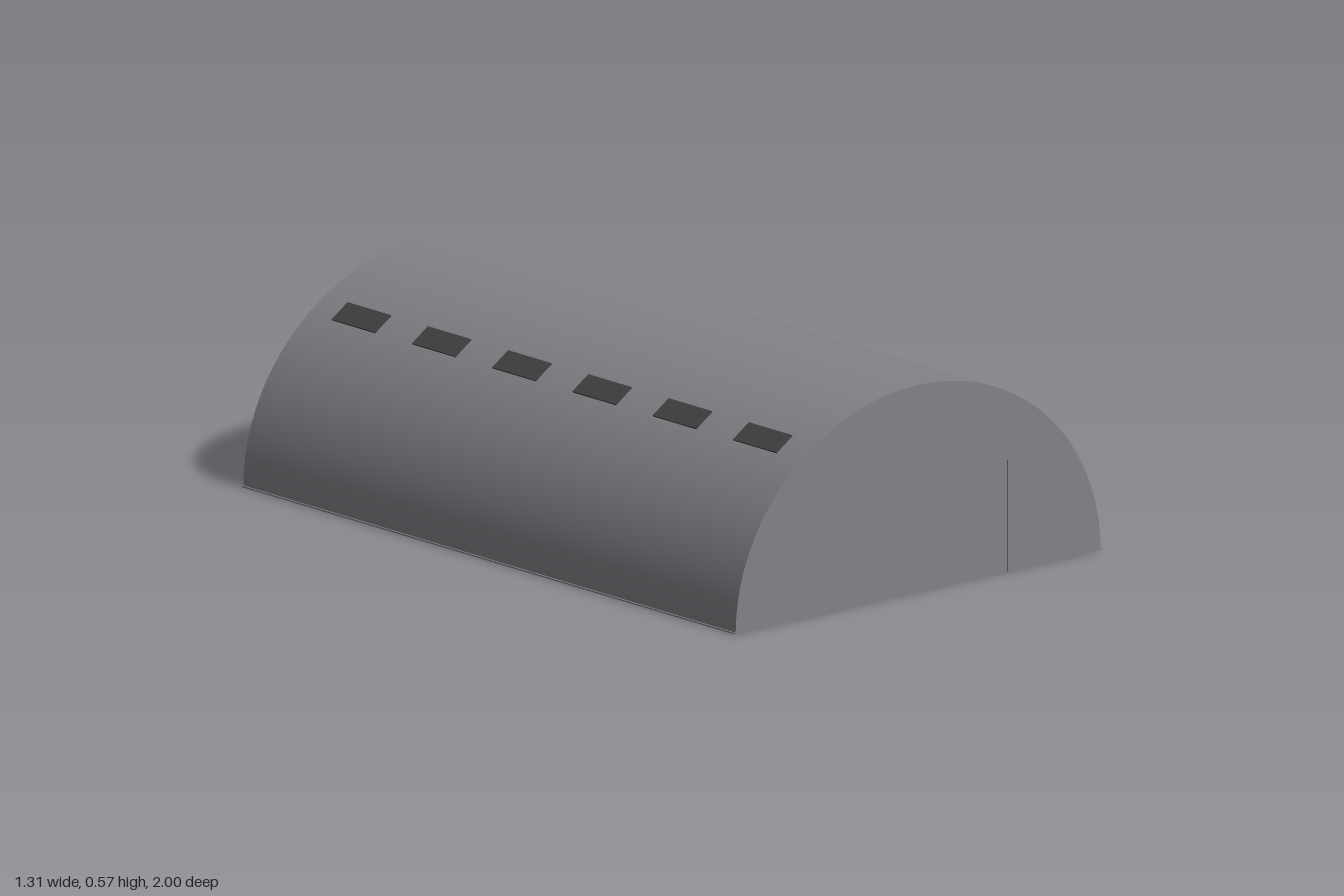
import * as THREE from 'three';
import { toCreasedNormals } from 'three/addons/utils/BufferGeometryUtils.js';

const RX = 0.65, RY = 0.575, LENGTH = 2, WALL = 0.006;

export function createModel() {
  const grey = new THREE.MeshStandardMaterial({ color: 0x838288 });
  grey.name = 'grey cladding';
  const dark = new THREE.MeshStandardMaterial({ color: 0x424242 });
  dark.name = 'dark window';

  const group = new THREE.Group();
  group.name = 'archedHangar';

  const add = (name, geometry, material, x = 0, y = 0, z = 0) => {
    const mesh = new THREE.Mesh(geometry, material);
    mesh.name = name;
    mesh.position.set(x, y, z);
    group.add(mesh);
    return mesh;
  };
  const extrude = (shape, depth) => toCreasedNormals(
    new THREE.ExtrudeGeometry(shape, { depth, bevelEnabled: false, curveSegments: 64 }), 0.5);

  // Vaulted roof: a thin half-elliptical shell, open underneath
  const vault = new THREE.Shape();
  vault.moveTo(RX, 0);
  vault.absellipse(0, 0, RX, RY, 0, Math.PI, false);
  vault.lineTo(-RX + WALL, 0);
  vault.absellipse(0, 0, RX - WALL, RY - WALL, Math.PI, 0, true);
  vault.closePath();
  add('roofVault', extrude(vault, LENGTH), grey, 0, 0, -LENGTH / 2);

  // End walls fit inside the shell; the front one is notched for the door
  const DOOR_X = 0.32, DOOR_Y = 0.31;
  const endShape = (withDoor) => {
    const s = new THREE.Shape();
    s.moveTo(RX - WALL, 0);
    s.absellipse(0, 0, RX - WALL, RY - WALL, 0, Math.PI, false);
    if (withDoor) {
      s.lineTo(-DOOR_X, 0);
      s.lineTo(-DOOR_X, DOOR_Y);
      s.lineTo(DOOR_X, DOOR_Y);
      s.lineTo(DOOR_X, 0);
    }
    s.closePath();
    return s;
  };
  add('frontWall', extrude(endShape(true), WALL), grey, 0, 0, LENGTH / 2 - WALL);
  add('backWall', extrude(endShape(false), WALL), grey, 0, 0, -LENGTH / 2);

  // Wide door, set back very slightly
  add('door', new THREE.BoxGeometry(DOOR_X * 2, DOOR_Y, WALL), grey,
    0, DOOR_Y / 2, LENGTH / 2 - WALL / 2 - 0.004);

  // Narrow sill along the foot of each long side
  for (const side of [-1, 1]) {
    add(side > 0 ? 'leftSill' : 'rightSill', new THREE.BoxGeometry(0.01, 0.004, LENGTH), grey,
      side * 0.65, 0.002, 0);
  }

  // Skylights: six flat panes per side, tangent to the vault
  const px = 0.39, py = RY * Math.sqrt(1 - (px / RX) ** 2);
  const tilt = Math.atan((RY * RY * px) / (RX * RX * py));
  const pane = new THREE.BoxGeometry(0.068, 0.009, 0.175);
  for (const side of [-1, 1]) {
    for (let i = 0; i < 6; i++) {
      const mesh = add('skylight', pane, dark, side * px, py - 0.001, (i - 2.5) * 0.326);
      mesh.rotation.z = -side * tilt;
    }
  }
  return group;
}
